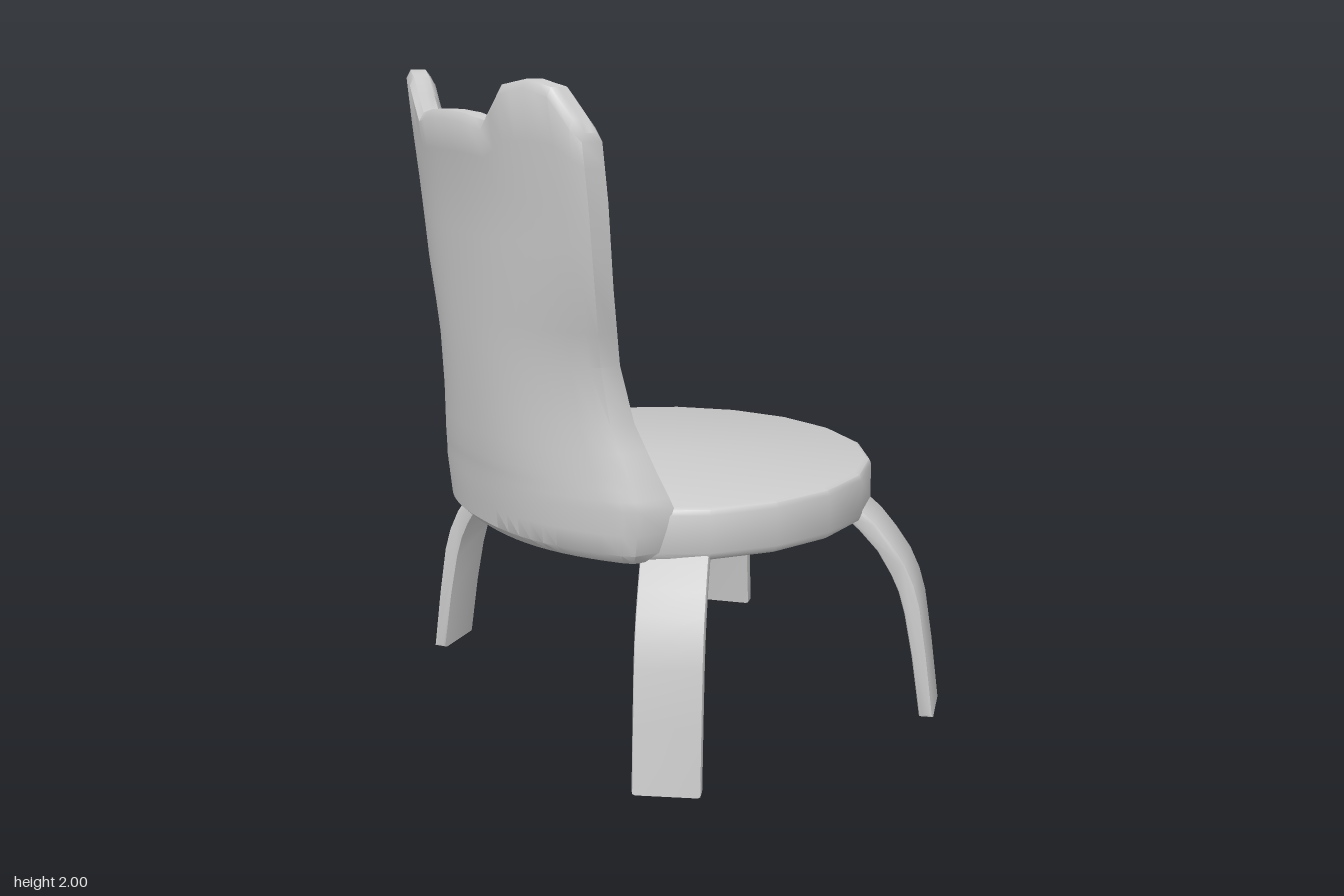
import * as THREE from 'three';
import { toCreasedNormals } from 'three/addons/utils/BufferGeometryUtils.js';

const material = new THREE.MeshStandardMaterial({ color: 0xcccccc, roughness: 0.8 });

function addMesh(parent, name, geometry, crease = 0.7) {
  const mesh = new THREE.Mesh(toCreasedNormals(geometry, crease), material);
  mesh.name = name;
  parent.add(mesh);
  return mesh;
}

// Piecewise linear lookup: rows are [key, value, value, ...]
function lookup(rows, key, column) {
  let i = 0;
  while (i < rows.length - 2 && key > rows[i + 1][0]) i++;
  const a = rows[i], b = rows[i + 1];
  const t = THREE.MathUtils.clamp((key - a[0]) / (b[0] - a[0]), 0, 1);
  return THREE.MathUtils.lerp(a[column], b[column], t);
}

// Backrest sections: height, half width, inner edge x, outer edge x, inner centre x, outer centre x
const SECTIONS = [
  [0.63, 0.55, -0.36, -0.42, -0.45, -0.62],
  [0.66, 0.575, -0.33, -0.43, -0.45, -0.635],
  [0.79, 0.59, -0.285, -0.43, -0.50, -0.65],
  [0.82, 0.58, -0.295, -0.435, -0.535, -0.652],
  [0.88, 0.56, -0.32, -0.44, -0.565, -0.66],
  [1.03, 0.505, -0.37, -0.47, -0.59, -0.67],
  [1.20, 0.49, -0.41, -0.49, -0.60, -0.68],
  [1.43, 0.535, -0.455, -0.53, -0.61, -0.69],
  [1.67, 0.555, -0.48, -0.56, -0.625, -0.70],
  [1.86, 0.555, -0.50, -0.58, -0.64, -0.725],
  [2.00, 0.55, -0.52, -0.60, -0.65, -0.735],
];

// Top outline with two round ears: position across, height
const TOP = [[0, 1.9], [0.2, 1.896], [0.39, 1.88], [0.56, 1.982], [0.73, 2.0], [0.87, 1.98], [1, 1.86]];

function backrestGeometry() {
  // One closed ring: inner face, rounded side, outer face, rounded side
  const half = [0.1, 0.2, 0.3, 0.39, 0.475, 0.56, 0.645, 0.73, 0.8, 0.87, 0.96];
  const across = [...half.map((u) => -u).reverse(), 0, ...half];
  const ring = [
    ...across.map((u) => [u, 0]), [1, 0.1], [1, 0.88],
    ...across.map((u) => [u, 1]).reverse(), [-1, 0.88], [-1, 0.1],
  ];
  // Rows: height (or distance along the top part) and thickness factor
  const rows = [
    [() => 0.63, 0], [() => 0.63, 0.8],
    ...[0.66, 0.72, 0.79, 0.82, 0.85, 0.88, 0.95, 1.03, 1.2, 1.3, 1.43, 1.55, 1.67].map((y) => [() => y, 1]),
    [(top) => (1.67 + top) / 2, 1], [(top) => top - 0.025, 1],
    [(top) => top, 0.6], [(top) => top, 0],
  ];
  const positions = [], indices = [], n = ring.length;
  rows.forEach(([height, thickness], r) => {
    ring.forEach(([u, depth], i) => {
      const y = height(lookup(TOP, Math.abs(u), 1));
      const bend = Math.abs(u) ** 2.4;
      const at = (column) => lookup(SECTIONS, y, column);
      const inner = THREE.MathUtils.lerp(at(4), at(2), bend);
      const outer = THREE.MathUtils.lerp(at(5), at(3), bend);
      const w = 0.5 + (depth - 0.5) * thickness;
      positions.push(THREE.MathUtils.lerp(inner, outer, w), y, u * at(1));
      if (r === 0) return;
      const a = (r - 1) * n + i, b = (r - 1) * n + (i + 1) % n;
      indices.push(a, a + n, b + n, a, b + n, b);
    });
  });
  const geometry = new THREE.BufferGeometry();
  geometry.setAttribute('position', new THREE.Float32BufferAttribute(positions, 3));
  geometry.setIndex(indices);
  return geometry;
}

function seatGeometry() {
  const profile = [[0, 0.63], [0.655, 0.63], [0.67, 0.638], [0.677, 0.655], [0.677, 0.768], [0.67, 0.783], [0.655, 0.79], [0, 0.79]];
  const geometry = new THREE.LatheGeometry(profile.map(([r, y]) => new THREE.Vector2(r, y)), 20);
  // Flatten the rear so that it stays inside the backrest
  const p = geometry.attributes.position;
  for (let i = 0; i < p.count; i++) {
    if (p.getX(i) < -0.3) p.setX(i, -0.3 + (p.getX(i) + 0.3) * 0.84);
  }
  return geometry;
}

// Curved, splayed leg: side outline extruded to the leg's width
function legGeometry() {
  const bevel = 0.01, width = 0.2;
  const outline = [
    [0.87, 0.01], [0.895, 0.01], [0.87, 0.2], [0.845, 0.36], [0.825, 0.43], [0.795, 0.495], [0.75, 0.56],
    [0.70, 0.62], [0.63, 0.68], [0.56, 0.68], [0.62, 0.645], [0.665, 0.605], [0.725, 0.54], [0.77, 0.465],
    [0.795, 0.41], [0.815, 0.34], [0.842, 0.2],
  ];
  const shape = new THREE.Shape(outline.map(([x, y]) => new THREE.Vector2(x, y)));
  const geometry = new THREE.ExtrudeGeometry(shape, {
    depth: width - 2 * bevel, bevelEnabled: true, bevelSize: bevel, bevelThickness: bevel, bevelSegments: 2,
  });
  return geometry.translate(0, 0, bevel - width / 2);
}

export function createModel() {
  const chair = new THREE.Group();
  chair.name = 'chair';
  addMesh(chair, 'seat', seatGeometry());
  addMesh(chair, 'backrest', backrestGeometry());

  // Two mirrored pairs of legs
  for (const side of [1, -1]) {
    const front = addMesh(chair, 'frontLeg', legGeometry(), 0.6);
    front.rotation.y = -side * THREE.MathUtils.degToRad(43.5);
    const rear = addMesh(chair, 'rearLeg', legGeometry(), 0.6);
    rear.rotation.y = -side * THREE.MathUtils.degToRad(127);
    rear.position.set(0.12, 0, side * 0.035);
  }
  return chair;
}
